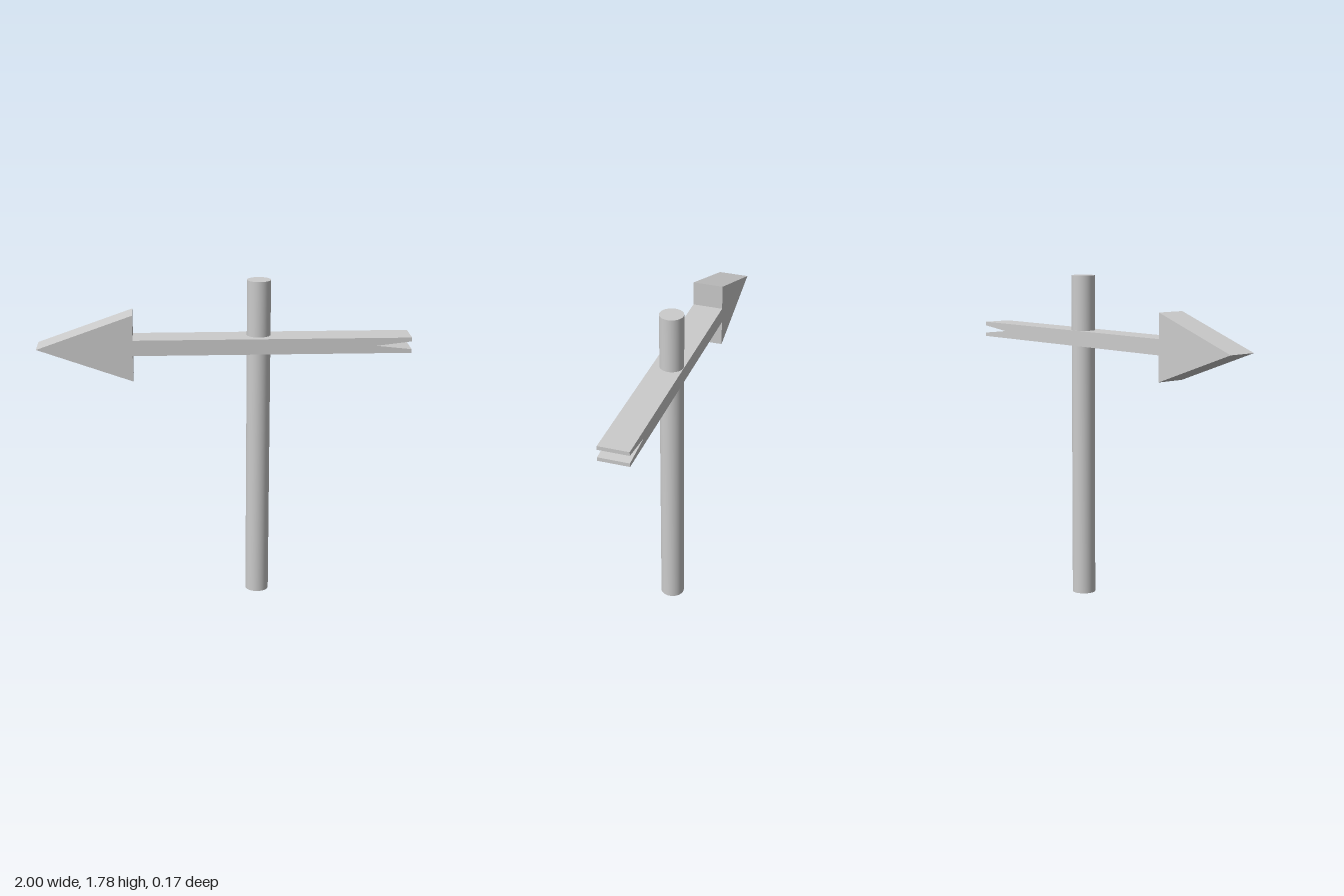
import * as THREE from 'three';

const material = new THREE.MeshStandardMaterial({ color: 0xcccccc });

function addPart(group, name, geometry, x, y, z) {
  const mesh = new THREE.Mesh(geometry, material);
  mesh.name = name;
  mesh.position.set(x, y, z);
  group.add(mesh);
}

export function createModel() {
  const group = new THREE.Group();
  group.name = 'arrowSignpost';

  // Round post, set slightly behind the centre of the arrow
  const height = 1.785;
  addPart(group, 'post', new THREE.CylinderGeometry(0.064, 0.064, height, 48), 0.186, height / 2, -0.017);

  // Arrow outline: pointed head, straight shaft and notched tail
  const depth = 0.166;
  const outline = [
    [-1, 1.44], [-0.49, 1.26], [-0.49, 1.4], [1, 1.4], [1, 1.42],
    [0.81, 1.441], [1, 1.463], [1, 1.484], [-0.49, 1.484], [-0.49, 1.62],
  ];
  const shape = new THREE.Shape(outline.map(([x, y]) => new THREE.Vector2(x, y)));
  const arrow = new THREE.ExtrudeGeometry(shape, { depth, bevelEnabled: false });
  addPart(group, 'arrow', arrow, 0, 0, -depth / 2);

  return group;
}
